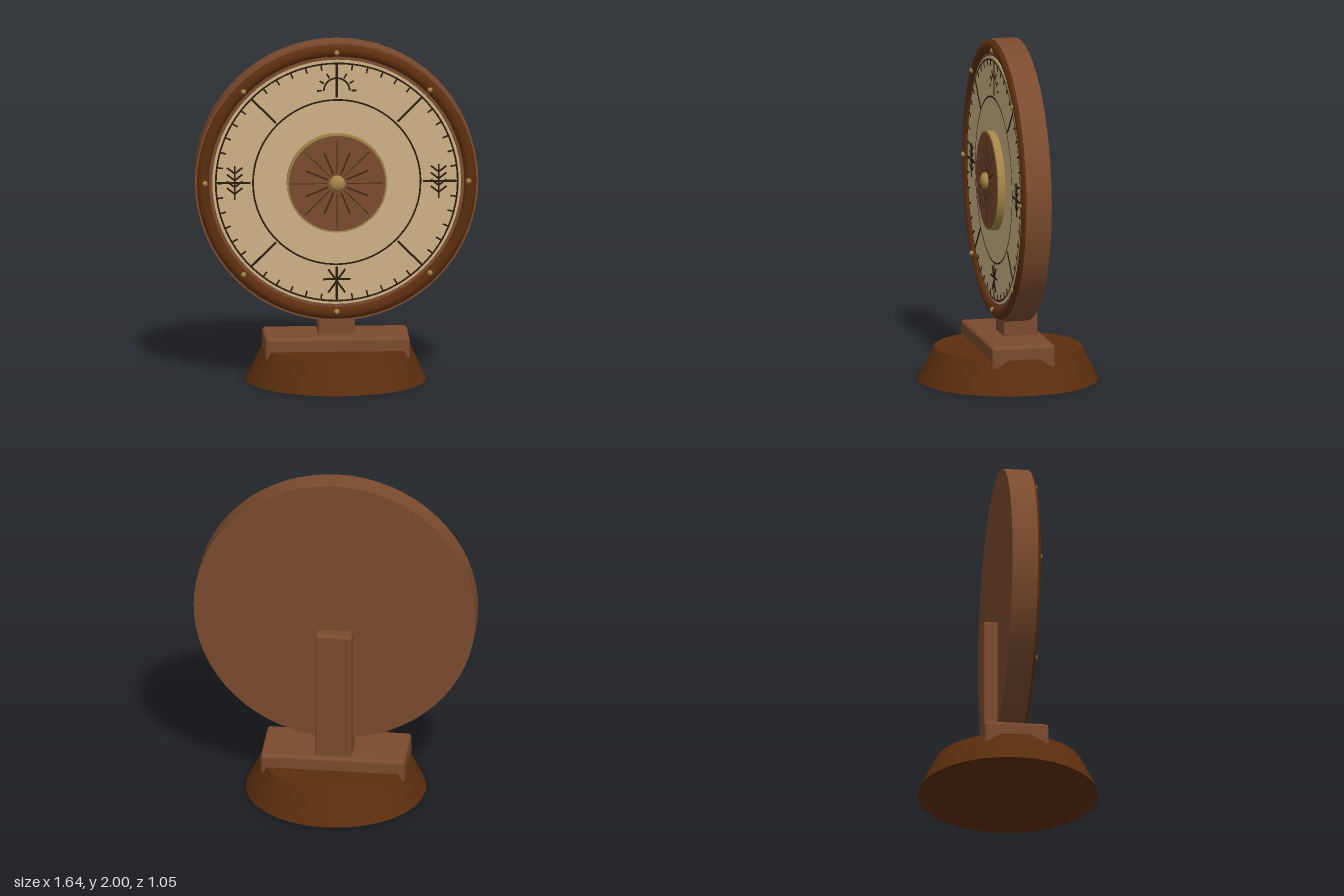
import * as THREE from 'three';
import { RoundedBoxGeometry } from 'three/addons/geometries/RoundedBoxGeometry.js';

const mat = (name, color) => {
  const m = new THREE.MeshStandardMaterial({ color });
  m.name = name;
  return m;
};

export function createModel() {
  const wood = mat('brown wood', 0x7b4b2e);
  const darkWood = mat('dark wood', 0x5c2e0e);
  const cream = mat('cream face', 0xcdb286);
  const brass = mat('aged brass', 0xa48548);
  const ink = mat('dark ink', 0x2b1d0e);
  const carving = mat('carved groove', 0x472a18);

  const model = new THREE.Group();
  model.name = 'standingDial';
  const add = (parent, name, geo, material, x = 0, y = 0, z = 0) => {
    const m = new THREE.Mesh(geo, material);
    m.name = name;
    m.position.set(x, y, z);
    parent.add(m);
    return m;
  };

  // Stand: tapered foot, cross bar and upright post
  add(model, 'foot', new THREE.CylinderGeometry(0.43, 0.525, 0.195, 32), darkWood, 0, 0.0975, 0);
  add(model, 'crossBar', new RoundedBoxGeometry(0.84, 0.145, 0.375, 3, 0.02), wood, 0, 0.2025, 0);
  add(model, 'post', new RoundedBoxGeometry(0.215, 0.83, 0.205, 3, 0.015), wood, 0, 0.64, -0.0525);

  // Dial: everything below is centred on its axis, facing +z
  const dial = new THREE.Group();
  dial.name = 'dial';
  dial.position.y = 1.178;
  model.add(dial);
  const disc = (name, r, z0, z1, material, n = 64) =>
    add(dial, name, new THREE.CylinderGeometry(r, r, z1 - z0, n).rotateX(Math.PI / 2), material, 0, 0, (z0 + z1) / 2);

  disc('dialBody', 0.822, -0.075, 0.075, wood);
  add(dial, 'rim', new THREE.TorusGeometry(0.776, 0.04, 12, 64), darkWood, 0, 0, 0.057);
  disc('face', 0.722, 0.074, 0.081, cream);
  disc('hubEdge', 0.291, 0.08, 0.124, brass, 48);
  disc('hub', 0.281, 0.12, 0.127, wood, 48);
  const knob = add(dial, 'knob', new THREE.SphereGeometry(0.048, 20, 14), brass, 0, 0, 0.135);
  knob.scale.z = 0.65;

  // Studs around the rim
  for (let i = 0; i < 8; i++) {
    const a = i * Math.PI / 4;
    add(dial, 'stud', new THREE.SphereGeometry(0.016, 12, 8), brass, 0.766 * Math.cos(a), 0.766 * Math.sin(a), 0.091);
  }

  // Thin painted stroke between two points
  const stroke = (name, x0, y0, x1, y1, w = 0.01, z = 0.082, material = ink) => {
    const len = Math.hypot(x1 - x0, y1 - y0);
    const m = add(dial, name, new THREE.BoxGeometry(len, w, 0.006), material, (x0 + x1) / 2, (y0 + y1) / 2, z);
    m.rotation.z = Math.atan2(y1 - y0, x1 - x0);
  };
  const spoke = (name, a, r0, r1, w, z, material, cx = 0, cy = 0) =>
    stroke(name, cx + r0 * Math.cos(a), cy + r0 * Math.sin(a), cx + r1 * Math.cos(a), cy + r1 * Math.sin(a), w, z, material);

  // Ink circles and graduations
  for (const r of [0.486, 0.702])
    add(dial, 'inkCircle', new THREE.RingGeometry(r - 0.005, r + 0.005, 96), ink, 0, 0, 0.085);
  for (let i = 0; i < 48; i++) spoke('tick', i * Math.PI / 24, 0.665, 0.7, 0.009);
  for (let i = 0; i < 8; i++) spoke('mainLine', i * Math.PI / 4, 0.5, 0.695, 0.012);

  // Carved rays on the hub
  for (let i = 0; i < 16; i++) {
    const long = i % 2 === 0;
    spoke('hubRay', i * Math.PI / 8, 0.06, long ? 0.26 : 0.195, long ? 0.005 : 0.011, 0.126, carving);
  }

  // Rising sun at the top
  add(dial, 'sunArc', new THREE.RingGeometry(0.07, 0.08, 24, 1, 0, Math.PI), ink, 0, 0.54, 0.085);
  for (let i = 0; i <= 6; i++) spoke('sunRay', i * Math.PI / 6, 0.085, 0.115, 0.009, 0.082, ink, 0, 0.54);

  // Plant signs at both sides
  for (const side of [-1, 1]) {
    const x = side * 0.592;
    stroke('plantStem', x, -0.1, x, 0.1, 0.011);
    for (const y of [-0.065, -0.025, 0.015, 0.055])
      for (const s of [-1, 1]) stroke('plantLeaf', x, y, x + s * 0.045, y + 0.035, 0.01);
  }

  // Star sign at the bottom
  for (const a of [0.95, Math.PI - 0.95]) spoke('starRay', a, -0.085, 0.085, 0.011, 0.082, ink, 0, -0.585);
  stroke('starBar', -0.08, -0.575, 0.08, -0.575, 0.011);

  return model;
}
